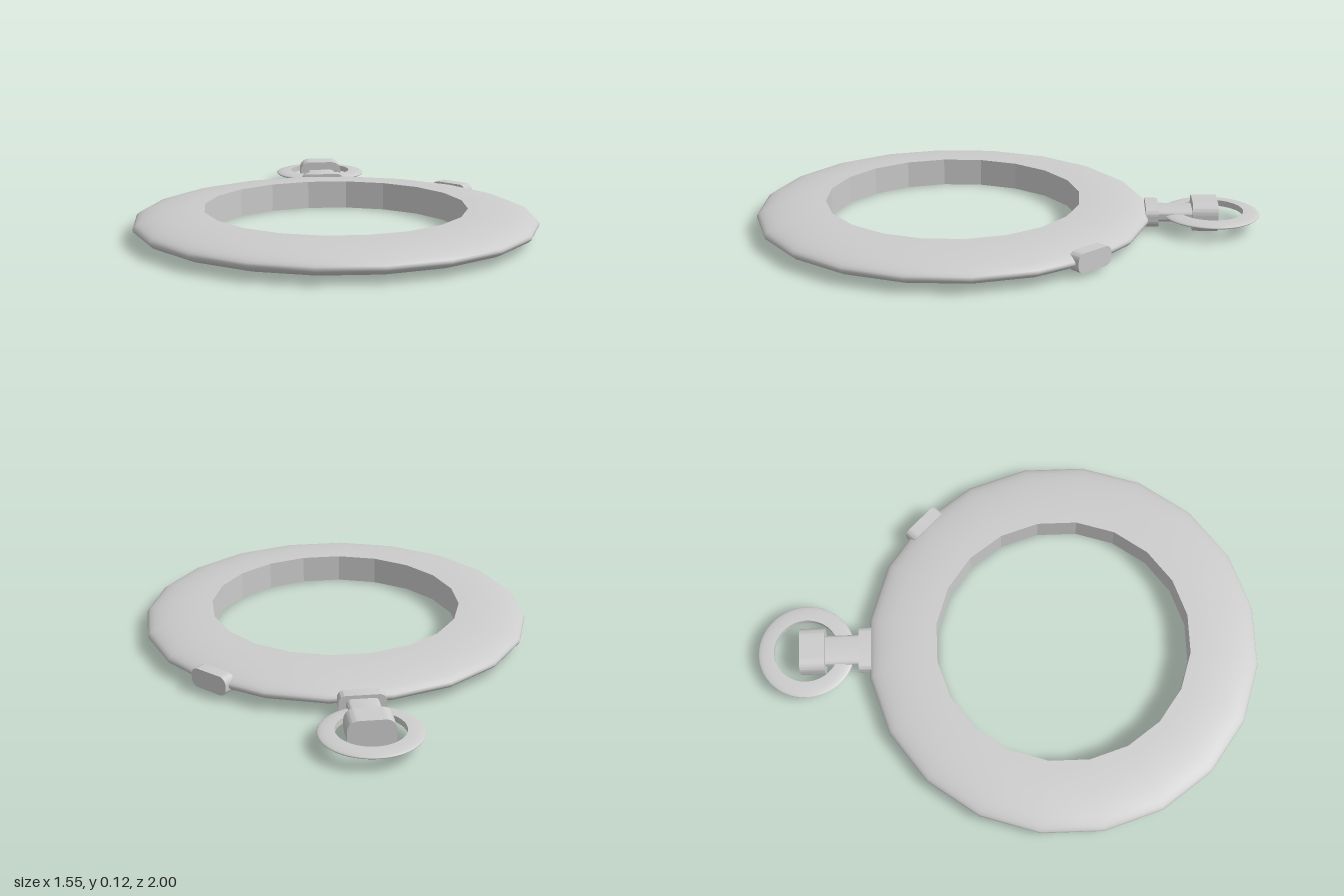
import * as THREE from 'three';
import { toCreasedNormals } from 'three/addons/utils/BufferGeometryUtils.js';

const MID = 0.058; // height of the central plane

function material(flatShading = false) {
  return new THREE.MeshStandardMaterial({ color: 0xcccccc, flatShading });
}

// Annulus with a flat inner wall and a half-elliptical outer section
function lensRing(name, inner, outer, halfHeight, sides, z, flatWall) {
  const group = new THREE.Group();
  group.name = name;
  const profile = [];
  for (let i = 0; i <= 20; i++) {
    const a = -Math.PI / 2 + (Math.PI * i) / 20;
    profile.push(new THREE.Vector2(inner + (outer - inner) * Math.cos(a), halfHeight * Math.sin(a)));
  }
  const start = Math.PI / sides;
  const rim = new THREE.Mesh(new THREE.LatheGeometry(profile, sides, start), material());
  rim.name = name + 'Rim';
  const wallLine = [new THREE.Vector2(inner, halfHeight), new THREE.Vector2(inner, -halfHeight)];
  const wall = new THREE.Mesh(new THREE.LatheGeometry(wallLine, sides, start), material(flatWall));
  wall.name = name + 'InnerWall';
  group.add(rim, wall);
  group.position.set(0, MID, z);
  return group;
}

// Block with a rounded-rectangle section, extruded along z and centred
function roundedBar(name, width, height, depth, radius) {
  const x = width / 2, y = height / 2, r = radius;
  const s = new THREE.Shape();
  s.moveTo(-x + r, -y);
  s.lineTo(x - r, -y);
  s.absarc(x - r, -y + r, r, -Math.PI / 2, 0);
  s.lineTo(x, y - r);
  s.absarc(x - r, y - r, r, 0, Math.PI / 2);
  s.lineTo(-x + r, y);
  s.absarc(-x + r, y - r, r, Math.PI / 2, Math.PI);
  s.lineTo(-x, -y + r);
  s.absarc(-x + r, -y + r, r, Math.PI, Math.PI * 1.5);
  const geo = new THREE.ExtrudeGeometry(s, { depth, bevelEnabled: false, curveSegments: 8 });
  geo.translate(0, 0, -depth / 2);
  const mesh = new THREE.Mesh(toCreasedNormals(geo, 0.6), material());
  mesh.name = name;
  mesh.position.y = MID;
  return mesh;
}

export function createModel() {
  const model = new THREE.Group();
  model.name = 'pocketWatchCase';

  // Twenty-sided case and the round bow behind it
  model.add(lensRing('case', 0.51, 0.785, 0.056, 20, 0.222, true));
  model.add(lensRing('bow', 0.13, 0.194, 0.012, 48, -0.807, false));

  // Crown: collar, stem and head in a row
  const crown = new THREE.Group();
  crown.name = 'crown';
  const parts = [
    ['collar', 0.18, 0.076, 0.05, 0.028, -0.571],
    ['stem', 0.125, 0.048, 0.16, 0.02, -0.665],
    ['head', 0.18, 0.116, 0.1, 0.042, -0.781],
  ];
  for (const [name, w, h, d, r, z] of parts) {
    const part = roundedBar(name, w, h, d, r);
    part.position.z = z;
    crown.add(part);
  }
  model.add(crown);

  // Push button on the rim, 45 degrees from the crown
  const button = roundedBar('pushButton', 0.172, 0.078, 0.05, 0.03);
  button.position.set(0.535, MID, -0.322);
  button.rotation.y = -Math.PI / 4;
  model.add(button);

  return model;
}
